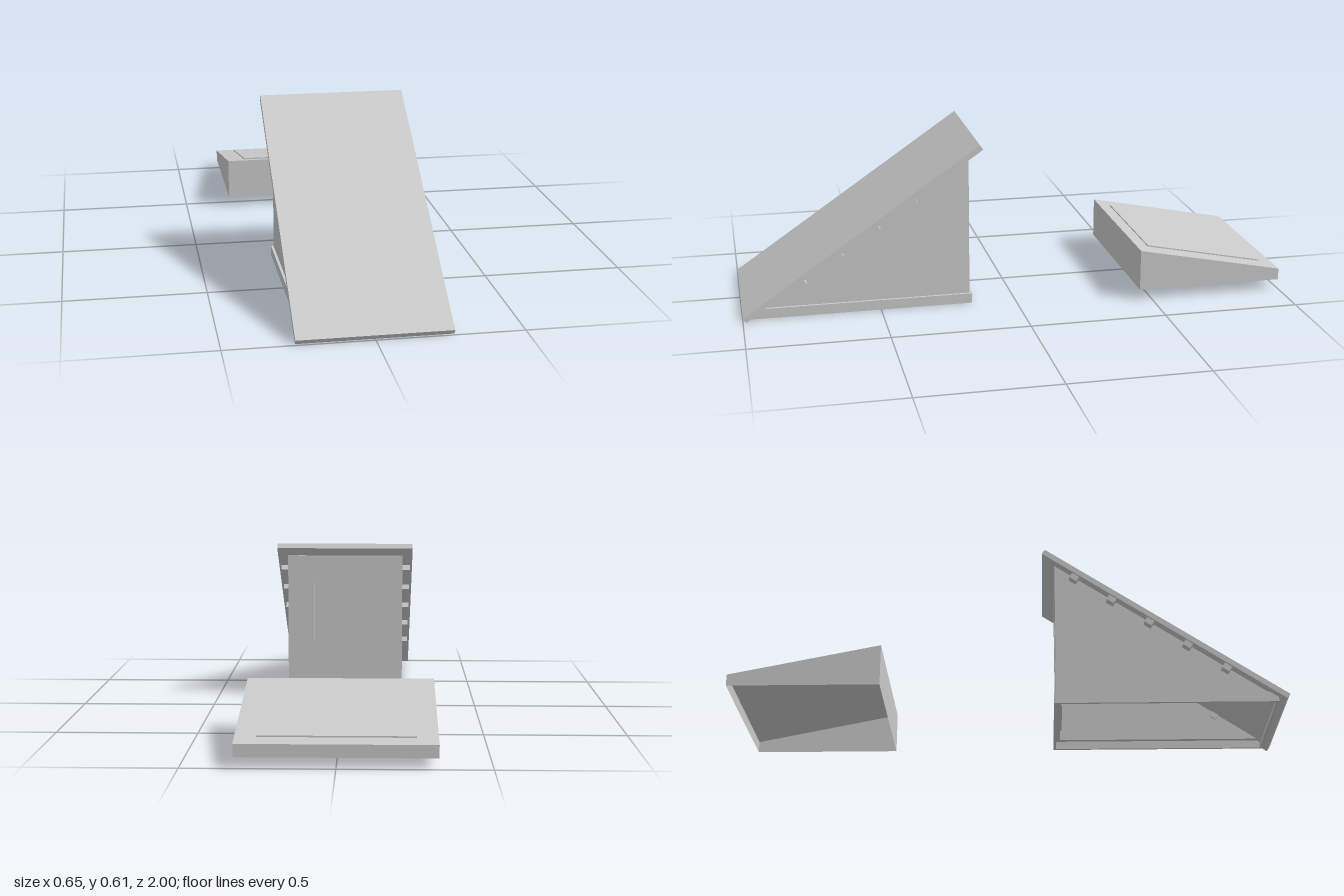
import * as THREE from 'three';

const grey = new THREE.MeshStandardMaterial({ color: 0xcccccc, flatShading: true, side: THREE.DoubleSide });

// Roof line: top edge runs from (z 1.0, y 0.0165) up to (z 0.135, y 0.609)
const slope = Math.atan2(0.5925, 0.865);
const underside = (z) => (0.989 - z) * Math.tan(slope);

function add(parent, name, geometry, x = 0, y = 0, z = 0) {
  const mesh = new THREE.Mesh(geometry, grey);
  mesh.name = name;
  mesh.position.set(x, y, z);
  parent.add(mesh);
  return mesh;
}

// Extrudes a side outline of [z, y] points across x0..x1
function sideExtrude(points, x0, x1) {
  const shape = new THREE.Shape(points.map(([z, y]) => new THREE.Vector2(z, y)));
  const geometry = new THREE.ExtrudeGeometry(shape, { depth: x1 - x0, bevelEnabled: false });
  return geometry.rotateY(-Math.PI / 2).translate(x1, 0, 0);
}

function createShed() {
  const shed = new THREE.Group();
  shed.name = 'shed';

  // Sloping roof slab
  add(shed, 'roof', sideExtrude([[0.989, 0], [1, 0.0165], [0.135, 0.609], [0.124, 0.592]], -0.262, 0.262));

  // Side walls, skirting boards and rafter tails, mirrored
  const wall = [[0.17, 0.03], [0.945, 0.03], [0.17, underside(0.17)]];
  const skirt = [[0.163, 0], [0.965, 0], [0.965, 0.0164], [0.935, 0.037], [0.163, 0.037]];
  for (const side of [1, -1]) {
    const label = side > 0 ? 'left' : 'right';
    const span = (a, b) => (side > 0 ? [a, b] : [-b, -a]);
    add(shed, label + 'Wall', sideExtrude(wall, ...span(0.205, 0.223)));
    add(shed, label + 'Skirting', sideExtrude(skirt, ...span(0.222, 0.232)));
    for (let i = 0; i < 5; i++) {
      const z = 0.787 - i * 0.1355;
      const tail = add(shed, label + 'RafterTail', new THREE.BoxGeometry(0.055, 0.03, 0.03),
        side * 0.226, underside(z) - 0.008, z);
      tail.rotation.x = slope;
    }
  }

  // Back wall with a door opening
  const back = new THREE.Shape();
  back.moveTo(-0.223, 0.03).lineTo(0.223, 0.03).lineTo(0.223, 0.56).lineTo(-0.223, 0.56).closePath();
  const opening = new THREE.Path();
  opening.moveTo(-0.12, 0.037).lineTo(-0.12, 0.5).lineTo(0.12, 0.5).lineTo(0.12, 0.037).closePath();
  back.holes.push(opening);
  add(shed, 'backWall', new THREE.ExtrudeGeometry(back, { depth: 0.018, bevelEnabled: false }), 0, 0, 0.17);
  add(shed, 'door', new THREE.BoxGeometry(0.25, 0.47, 0.008), 0, 0.27, 0.189);

  // Skirting across the back and front
  add(shed, 'backSkirting', new THREE.BoxGeometry(0.464, 0.037, 0.01), 0, 0.0185, 0.168);
  add(shed, 'frontSkirting', new THREE.BoxGeometry(0.464, 0.016, 0.009), 0, 0.008, 0.9605);
  return shed;
}

function createHatch() {
  const hatch = new THREE.Group();
  hatch.name = 'slopedHatch';
  const topAt = (z) => 0.08 + (z + 1) * (0.11 / 0.545);

  // Hollow wedge shell, open underneath
  const shell = new THREE.BoxGeometry(0.654, 1, 0.545).translate(0, 0, -0.7275);
  const p = shell.attributes.position;
  for (let i = 0; i < p.count; i++) p.setY(i, p.getY(i) > 0 ? topAt(p.getZ(i)) : 0.037);
  const index = Array.from(shell.index.array);
  index.splice(18, 6);
  shell.setIndex(index);
  shell.clearGroups();
  shell.computeVertexNormals();
  add(hatch, 'hatchShell', shell);

  // Slightly raised lid on the slope
  const z0 = -0.947, z1 = -0.503;
  add(hatch, 'hatchLid', sideExtrude(
    [[z0, topAt(z0)], [z1, topAt(z1)], [z1, topAt(z1) + 0.005], [z0, topAt(z0) + 0.005]], -0.257, 0.257));
  return hatch;
}

export function createModel() {
  const model = new THREE.Group();
  model.name = 'shedAndHatch';
  model.add(createShed(), createHatch());
  return model;
}
